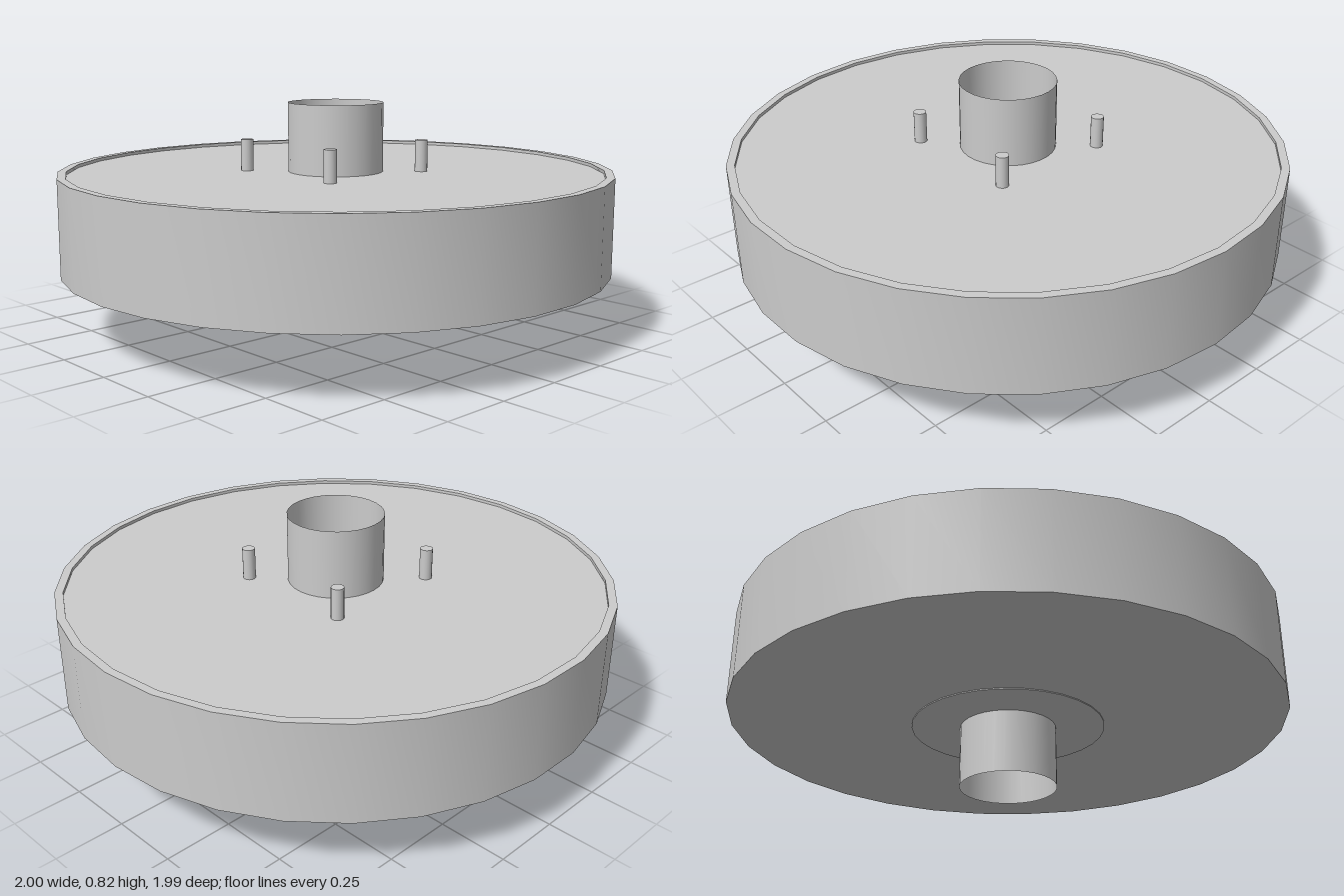
import * as THREE from 'three';
import { toCreasedNormals } from 'three/addons/utils/BufferGeometryUtils.js';

const SIDES = 30;
const BORE = 0.174;

export function createModel() {
  const model = new THREE.Group();
  const solid = new THREE.MeshStandardMaterial({ color: 0xcccccc });
  const thin = new THREE.MeshStandardMaterial({ color: 0xcccccc, side: THREE.DoubleSide });

  const add = (name, geometry, material = solid) => {
    const mesh = new THREE.Mesh(geometry, material);
    mesh.name = name;
    model.add(mesh);
    return mesh;
  };
  const turn = (profile) => toCreasedNormals(
    new THREE.LatheGeometry(profile.map(([r, y]) => new THREE.Vector2(r, y)), SIDES, Math.PI / 2), 0.5);

  // Wheel body: flat underside with a slight raised boss, outer wall,
  // narrow rim and a shallow recessed top face
  add('wheelBody', turn([
    [BORE, 0.226], [0.35, 0.226], [0.35, 0.23],
    [1, 0.23], [1, 0.58],
    [0.97, 0.58], [0.97, 0.568], [BORE, 0.568],
  ]));

  // Thin open sleeve running right through the wheel
  const sleeve = new THREE.CylinderGeometry(BORE, BORE, 0.82, SIDES, 1, true, Math.PI / 2);
  add('centreSleeve', sleeve, thin).position.set(0, 0.41, 0);

  // Four small pins standing around the sleeve
  const pin = new THREE.CylinderGeometry(0.023, 0.023, 0.125, 16);
  for (const x of [-0.23, 0.222]) {
    for (const z of [-0.231, 0.221]) {
      add('pin', pin).position.set(x, 0.6205, z);
    }
  }

  return model;
}
